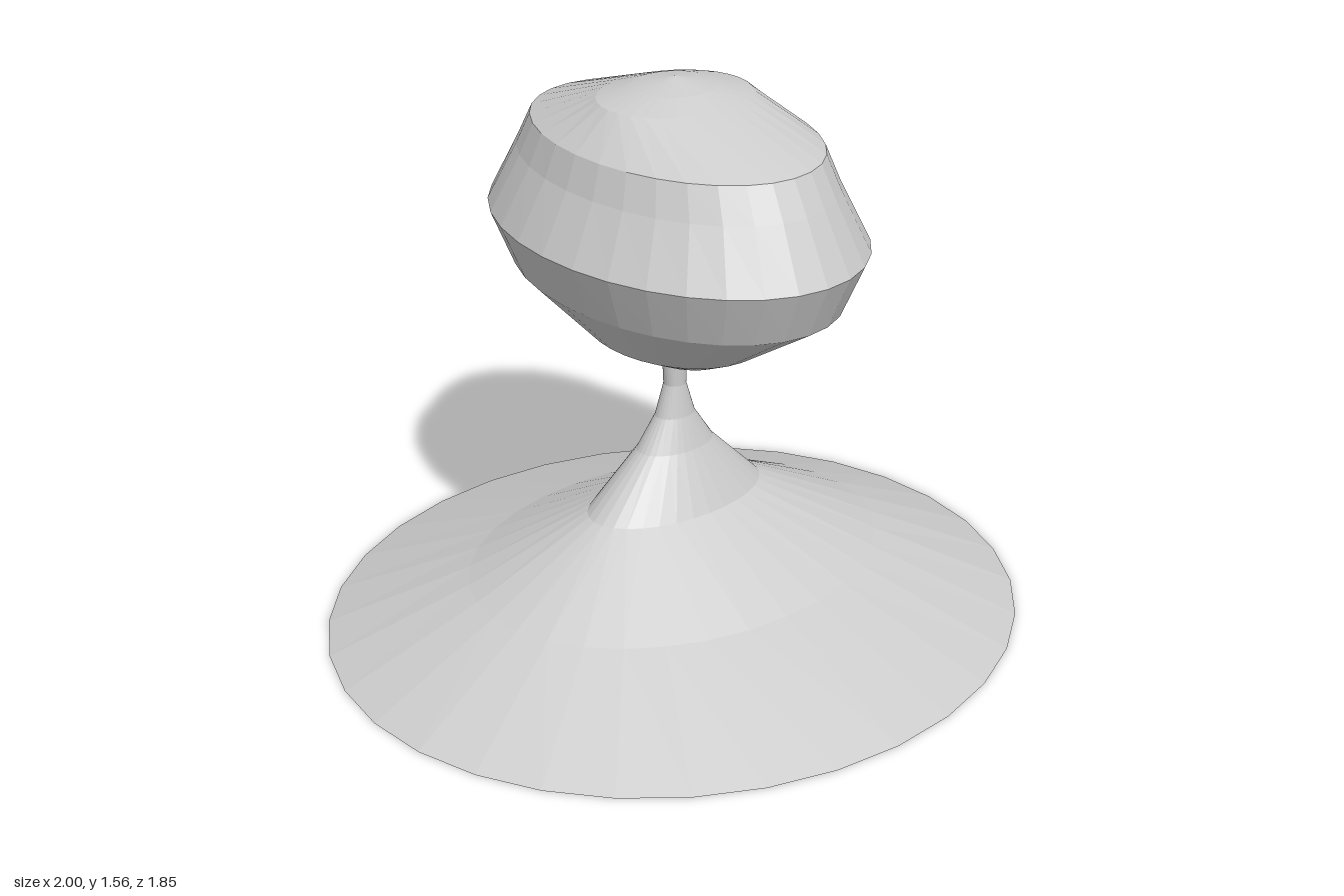
import * as THREE from 'three';

const SIDES = 32;

// Each ring is [height, half-width in x, half-depth in z], listed along the surface.
function ellipticalShell(name, rings, material) {
  const profile = rings.map(([y, rx]) => new THREE.Vector2(rx, y));
  const geometry = new THREE.LatheGeometry(profile, SIDES);
  const pos = geometry.attributes.position;
  for (let i = 0; i < pos.count; i++) {
    const [, rx, rz] = rings[i % rings.length];
    if (rx > 0) pos.setZ(i, pos.getZ(i) * rz / rx);
  }
  geometry.computeVertexNormals();
  const mesh = new THREE.Mesh(geometry, material);
  mesh.name = name;
  return mesh;
}

export function createModel() {
  const model = new THREE.Group();
  model.name = 'pedestalOrnament';
  const grey = new THREE.MeshStandardMaterial({
    color: 0xcccccc, flatShading: true, side: THREE.DoubleSide,
  });
  grey.name = 'light grey';

  // Wide hollow foot, open underneath, drawn up into the stem
  model.add(ellipticalShell('base', [
    [0, 1, 0.925],
    [0.175, 0.62, 0.48],
    [0.35, 0.28, 0.155],
    [0.51, 0.12, 0.075],
    [0.6, 0.06, 0.045],
    [0.69, 0.032, 0.03],
  ], grey));

  // Thin stem that flares into the recess under the head
  model.add(ellipticalShell('neck', [
    [0.69, 0.032, 0.03],
    [0.77, 0.035, 0.033],
    [0.8, 0.045, 0.045],
    [0.835, 0.065, 0.08],
    [0.85, 0.1, 0.14],
    [0.8, 0.12, 0.18],
  ], grey));

  // Oval head with a round crown
  model.add(ellipticalShell('head', [
    [0.8, 0.12, 0.18],
    [0.85, 0.215, 0.28],
    [1.02, 0.37, 0.54],
    [1.17, 0.43, 0.607],
    [1.33, 0.35, 0.523],
    [1.42, 0.32, 0.472],
    [1.515, 0.215, 0.185],
    [1.54, 0.115, 0.11],
    [1.563, 0, 0],
  ], grey));

  return model;
}
